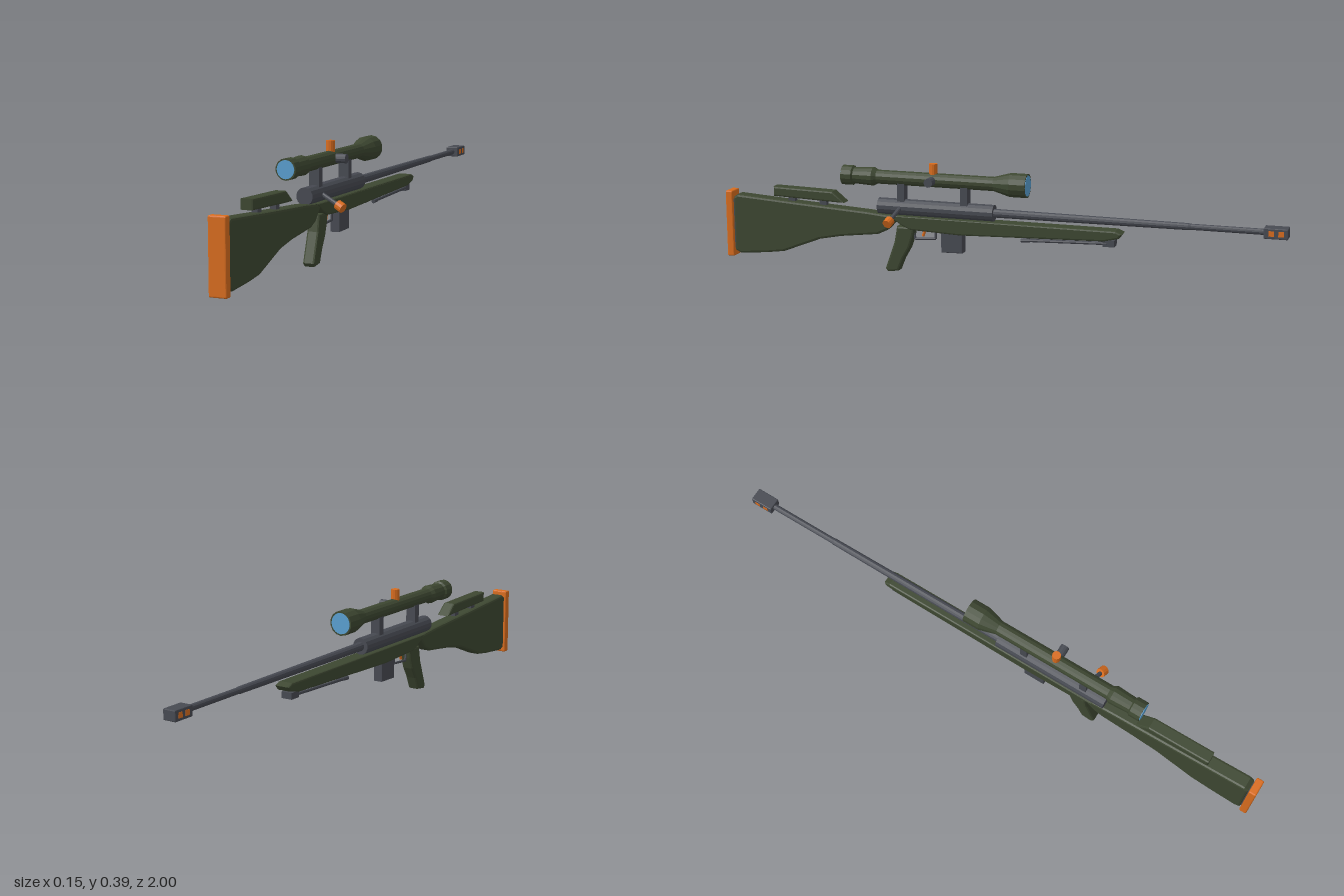
import * as THREE from 'three';
import { RoundedBoxGeometry } from 'three/addons/geometries/RoundedBoxGeometry.js';

const mat = (color, side = THREE.FrontSide) => new THREE.MeshStandardMaterial({ color, flatShading: true, side });

export function createModel() {
  const green = mat(0x3d4731), steel = mat(0x474a52), orange = mat(0xd86c1e), glass = mat(0x5a9fd0);
  const model = new THREE.Group();
  const body = new THREE.Group();
  body.name = 'rifle';
  body.position.x = -0.036;
  model.add(body);

  const add = (name, geometry, material, x = 0, y = 0, z = 0) => {
    const mesh = new THREE.Mesh(geometry, material);
    mesh.name = name;
    mesh.position.set(x, y, z);
    body.add(mesh);
    return mesh;
  };
  const box = (name, m, w, h, d, x, y, z) => add(name, new THREE.BoxGeometry(w, h, d), m, x, y, z);

  // Side profile of [z, y] points, extruded across the width with a small bevel
  const slab = (name, m, points, width, bevel = 0.006) => {
    const g = new THREE.ExtrudeGeometry(new THREE.Shape(points.map(p => new THREE.Vector2(...p))), {
      depth: width - 2 * bevel, bevelEnabled: true, bevelThickness: bevel,
      bevelSize: bevel, bevelOffset: -bevel, bevelSegments: 2,
    });
    g.translate(0, 0, -width / 2 + bevel).rotateY(-Math.PI / 2);
    return add(name, g, m);
  };

  // Turned part along z from [radius, z] points, front to back
  const turned = (name, m, points, y, sides = 14) => {
    const g = new THREE.LatheGeometry(points.map(p => new THREE.Vector2(...p)), sides);
    return add(name, g.rotateX(Math.PI / 2), m, 0, y, 0);
  };

  // Straight rod between two points
  const rod = (name, m, a, b, r, sides = 10) => {
    const from = new THREE.Vector3(...a), to = new THREE.Vector3(...b);
    const dir = to.clone().sub(from);
    const mesh = add(name, new THREE.CylinderGeometry(r, r, dir.length(), sides), m);
    mesh.position.copy(from).add(to).multiplyScalar(0.5);
    mesh.quaternion.setFromUnitVectors(new THREE.Vector3(0, 1, 0), dir.normalize());
    return mesh;
  };

  // Stock, cheek rest and butt pad
  slab('stock', green, [
    [0.97, 0.232], [0.955, 0.242], [0.72, 0.227], [0.46, 0.212], [0.36, 0.203], [0.35, 0.19],
    [0.385, 0.15], [0.42, 0.133], [0.56, 0.116], [0.64, 0.1], [0.78, 0.045], [0.85, 0.035],
    [0.95, 0.026], [0.97, 0.036],
  ], 0.052, 0.008);
  slab('cheekRest', green, [[0.815, 0.244], [0.815, 0.279], [0.59, 0.274], [0.545, 0.236], [0.58, 0.236]], 0.045);
  box('cheekRestPost', steel, 0.02, 0.03, 0.025, 0, 0.235, 0.75);
  box('cheekRestPost', steel, 0.02, 0.03, 0.025, 0, 0.23, 0.63);
  add('buttPad', new RoundedBoxGeometry(0.06, 0.24, 0.027, 2, 0.005), orange, 0, 0.134, 0.986);
  box('buttPlate', steel, 0.04, 0.18, 0.02, 0, 0.134, 0.966);

  // Fore-end and grip
  slab('foreEnd', green, [
    [0.38, 0.204], [-0.43, 0.204], [-0.452, 0.194], [-0.44, 0.178], [-0.39, 0.166], [-0.1, 0.157],
    [0.12, 0.15], [0.3, 0.157], [0.33, 0.17],
  ], 0.055, 0.006);
  slab('grip', green, [
    [0.285, 0.166], [0.35, 0.166], [0.36, 0.11], [0.394, 0.012], [0.386, 0], [0.346, 0.006],
    [0.328, 0.05], [0.305, 0.09], [0.292, 0.13],
  ], 0.043, 0.007);

  // Receiver and barrel
  turned('receiver', steel, [[0, 0], [0.029, 0], [0.029, 0.42], [0, 0.42]], 0.232);
  turned('barrel', steel, [[0, -0.93], [0.0105, -0.93], [0.0105, -0.68], [0.012, -0.67],
    [0.0125, -0.59], [0.0155, 0], [0, 0.01]], 0.232, 12);

  // Muzzle brake with side ports
  add('muzzleBrake', new RoundedBoxGeometry(0.047, 0.036, 0.08, 1, 0.003), steel, 0, 0.232, -0.96);
  for (const side of [-1, 1])
    for (const z of [-0.945, -0.977]) box('muzzlePort', orange, 0.003, 0.018, 0.018, side * 0.023, 0.232, z);

  // Magazine, trigger guard and trigger
  slab('magazine', steel, [[0.11, 0.16], [0.188, 0.16], [0.188, 0.083], [0.11, 0.085]], 0.036, 0.003);
  const guardPath = [[0.213, 0.158], [0.213, 0.127], [0.288, 0.122], [0.296, 0.158]];
  for (let i = 0; i < 3; i++)
    rod('triggerGuard', steel, [0, guardPath[i][1], guardPath[i][0]], [0, guardPath[i + 1][1], guardPath[i + 1][0]], 0.0045, 8);
  rod('trigger', orange, [0, 0.16, 0.25], [0, 0.133, 0.26], 0.005, 8);

  // Folded bipod
  box('bipodMount', steel, 0.04, 0.022, 0.04, 0, 0.158, -0.405);
  for (const side of [-1, 1]) {
    rod('bipodLeg', steel, [side * 0.015, 0.158, -0.4], [side * 0.015, 0.148, -0.11], 0.0055, 8);
    rod('bipodFoot', steel, [side * 0.015, 0.149, -0.13], [side * 0.015, 0.147, -0.1], 0.007, 8);
  }

  // Bolt handle and knob
  rod('boltHandle', steel, [0.015, 0.235, 0.335], [0.086, 0.2, 0.35], 0.0075);
  rod('boltKnob', orange, [0.083, 0.202, 0.349], [0.105, 0.191, 0.354], 0.0165, 12);

  // Scope body, lenses and mounts
  const scopeY = 0.334;
  turned('scope', green, [
    [0, -0.112], [0.034, -0.112], [0.036, -0.118], [0.042, -0.118], [0.042, -0.06], [0.025, 0],
    [0.025, 0.425], [0.033, 0.44], [0.029, 0.51], [0.035, 0.515], [0.035, 0.553], [0.03, 0.553], [0, 0.545],
  ], scopeY);
  const lens = (name, r, z) => {
    const mesh = add(name, new THREE.CylinderGeometry(r, r, 0.006, 20), glass, 0, scopeY, z);
    mesh.rotation.x = Math.PI / 2;
  };
  lens('frontLens', 0.036, -0.116);
  lens('rearLens', 0.03, 0.552);
  for (const z of [0.335, 0.105]) box('scopeMount', steel, 0.036, 0.07, 0.026, 0, 0.283, z);

  // Adjustment turrets
  rod('topTurret', orange, [0, 0.345, 0.22], [0, 0.392, 0.22], 0.0145, 12);
  rod('sideTurret', steel, [0.015, scopeY, 0.22], [0.058, scopeY, 0.22], 0.0155, 12);

  return model;
}
